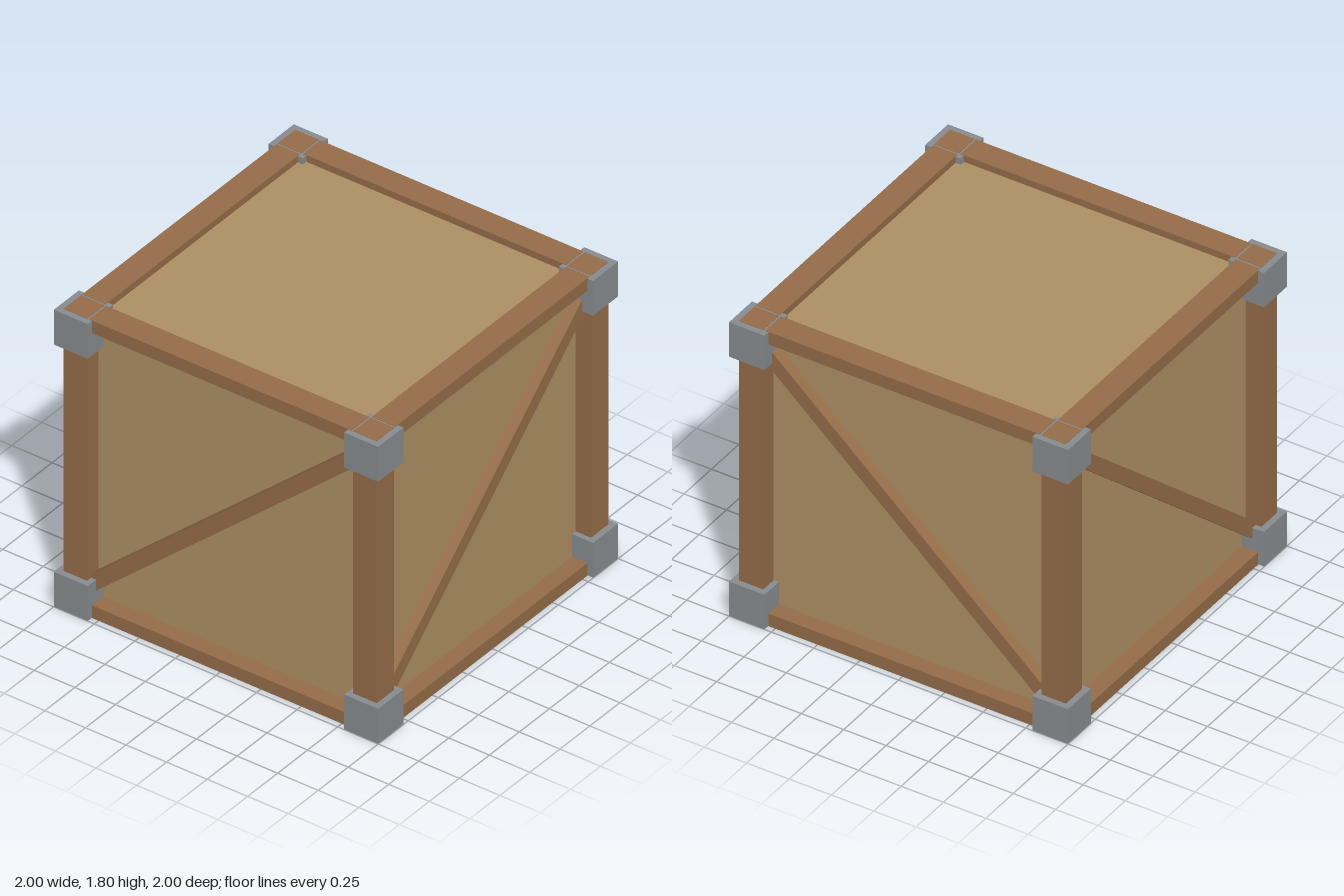
import * as THREE from 'three';

export function createModel() {
  const group = new THREE.Group();
  const mat = (name, color) => new THREE.MeshStandardMaterial({ name, color });
  const panelWood = mat('panel wood', 0xaf9064);
  const frameWood = mat('frame wood', 0x966d49);
  const metal = mat('grey metal', 0x898d91);

  const H = 1.796;      // overall height
  const POST = 0.145;   // frame timber width
  const C = 0.8925;     // frame centre line
  const CAP = 0.21;     // corner cube size
  const BAR = 0.076;    // rail height

  function box(name, w, h, d, material, x, y, z) {
    const mesh = new THREE.Mesh(new THREE.BoxGeometry(w, h, d), material);
    mesh.name = name;
    mesh.position.set(x, y, z);
    group.add(mesh);
    return mesh;
  }

  // Recessed panels form one closed inner box
  box('panels', 1.74, H - 0.08, 1.74, panelWood, 0, H / 2, 0);

  // Posts poke slightly through the metal corners at top and bottom
  for (const x of [-1, 1]) {
    for (const z of [-1, 1]) {
      box('cornerPost', POST, H, POST, frameWood, x * C, H / 2, z * C);
      for (const y of [0.002 + CAP / 2, H - 0.002 - CAP / 2]) {
        box('cornerCap', CAP, CAP, CAP, metal, x * (1 - CAP / 2), y, z * (1 - CAP / 2));
      }
    }
  }

  // Horizontal rails, ending inside the corner caps
  const railLength = 1.62;
  for (const y of [BAR / 2, H - BAR / 2]) {
    for (const s of [-1, 1]) {
      box('rail', railLength, BAR, POST, frameWood, 0, y, s * C);
      box('sideRail', POST, BAR, railLength, frameWood, s * C, y, 0);
    }
  }

  // Diagonal braces, one on each upright side
  const angle = Math.atan(0.882);
  for (const s of [-1, 1]) {
    const brace = box('brace', 2.3, 0.083, 0.083, frameWood, 0, H / 2, s * 0.89);
    brace.rotation.z = angle;
    const sideBrace = box('sideBrace', 0.083, 0.083, 2.3, frameWood, s * 0.89, H / 2, 0);
    sideBrace.rotation.x = angle;
  }

  return group;
}
